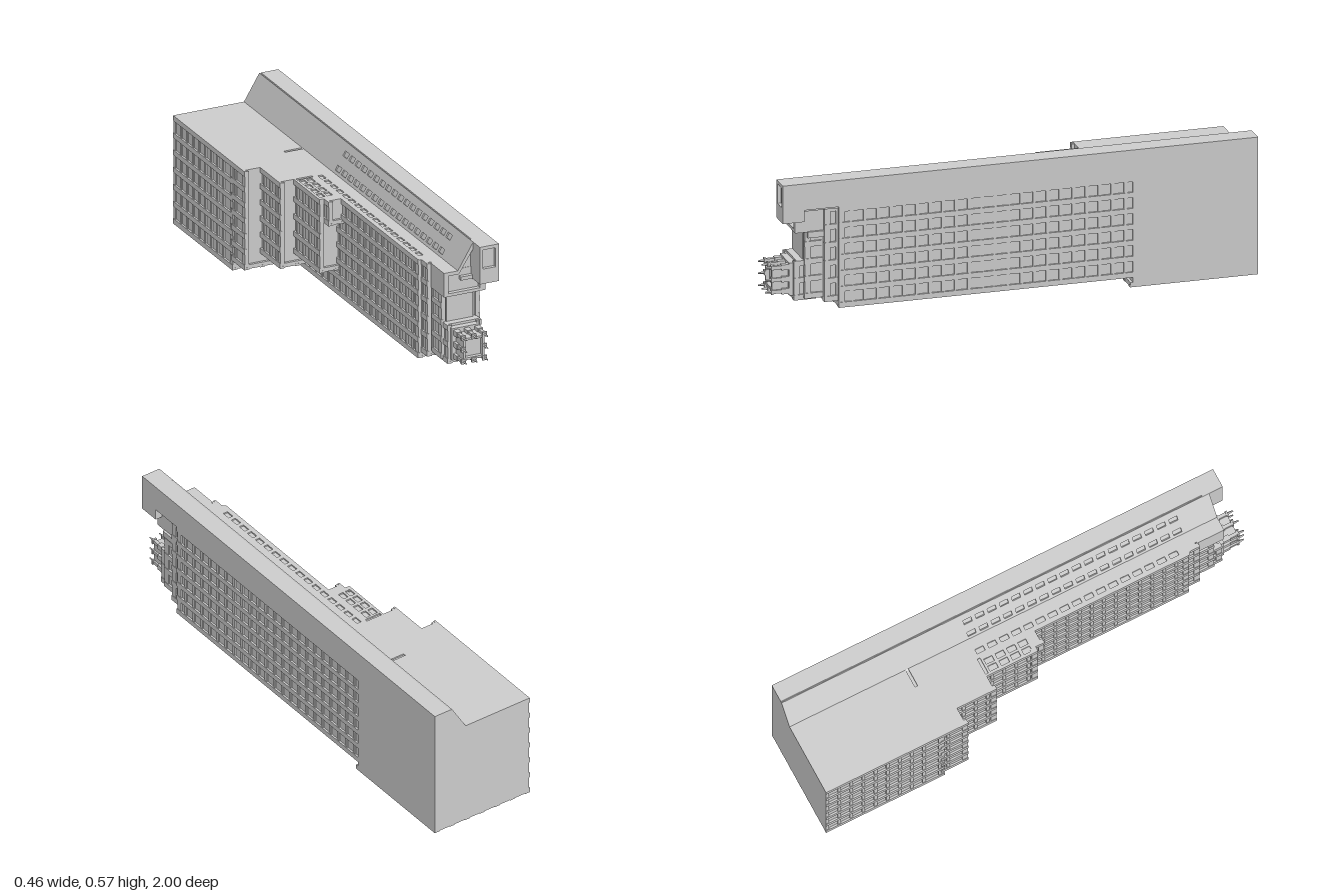
import * as THREE from 'three';

const mat = new THREE.MeshStandardMaterial({ color: 0xcccccc, flatShading: true });
const RECESS = 0.008, FLOOR = 0.0535, BAY = 0.076;

function add(parent, name, geo) {
  const m = new THREE.Mesh(geo, mat);
  m.name = name;
  parent.add(m);
  return m;
}

// Box given by its limits on each axis
function box(parent, name, x0, x1, y0, y1, z0, z1) {
  const g = new THREE.BoxGeometry(x1 - x0, y1 - y0, z1 - z0);
  g.translate((x0 + x1) / 2, (y0 + y1) / 2, (z0 + z1) / 2);
  return add(parent, name, g);
}

const shapeOf = pts => new THREE.Shape(pts.map(p => new THREE.Vector2(...p)));
const rect = (a, b, c, d) => [[a, c], [b, c], [b, d], [a, d]];

function prism(parent, name, pts, holes, z0, z1) {
  const s = shapeOf(pts);
  s.holes = holes.map(shapeOf);
  const g = new THREE.ExtrudeGeometry(s, { depth: z1 - z0, bevelEnabled: false });
  g.translate(0, 0, z0);
  return add(parent, name, g);
}

// Pierced sheet lying along z; u runs along dir, thickness goes inward
function piercedSheet(parent, name, origin, dir, width, z0, z1, cols, zs, winLen) {
  const s = shapeOf(rect(0, width, z0, z1));
  for (const [a, b] of cols) for (const z of zs) s.holes.push(shapeOf(rect(a, b, z, z + winLen)));
  const g = new THREE.ExtrudeGeometry(s, { depth: 0.006, bevelEnabled: false });
  const X = new THREE.Vector3(dir[0], dir[1], 0).normalize(), Y = new THREE.Vector3(0, 0, 1);
  g.applyMatrix4(new THREE.Matrix4().makeBasis(X, Y, X.clone().cross(Y)).setPosition(origin[0], origin[1], 0));
  return add(parent, name, g);
}

// Block with a grid of recessed windows on chosen faces (L = -x, R = +x, B = -y)
function tier(parent, name, x0, x1, y0, y1, z0, z1, faces, roofDrop = 0) {
  const g = new THREE.Group();
  g.name = name;
  parent.add(g);
  const L = faces.includes('L'), R = faces.includes('R'), B = faces.includes('B');
  const cx0 = x0 + (L ? RECESS : 0), cx1 = x1 - (R ? RECESS : 0), cy0 = y0 + (B ? RECESS : 0);
  box(g, 'core', cx0, cx1, cy0, y1 - roofDrop, z0, z1 - 0.012);

  // strip on a face: s0..s1 along the face, proud = fraction of the recess filled
  const strip = (f, part, s0, s1, a, b, proud, back = 0.001) => {
    const out = RECESS * (1 - proud), inn = RECESS + back;
    if (f === 'L') box(g, part, x0 + out, x0 + inn, s0, s1, a, b);
    if (f === 'R') box(g, part, x1 - inn, x1 - out, s0, s1, a, b);
    if (f === 'B') box(g, part, s0, s1, y0 + out, y0 + inn, a, b);
  };
  for (const f of faces) {
    const s0 = f === 'B' ? x0 : y0, s1 = f === 'B' ? x1 : y1;
    const n = Math.max(1, Math.round((s1 - s0) / BAY)), w = 0.022;
    for (let i = 0; i <= n; i++) {
      const c = s0 + w / 2 + (s1 - s0 - w) * i / n;
      strip(f, 'pier', c - w / 2, c + w / 2, z0, z1, 1);
    }
    const t0 = f === 'B' ? cx0 : cy0, t1 = f === 'B' ? cx1 : y1 - 0.002;
    for (let k = Math.ceil((z0 + 1) / FLOOR); -1 + k * FLOOR + 0.014 < z1 - 0.03; k++) {
      const z = -1 + k * FLOOR;
      strip(f, 'spandrel', t0, t1, z, z + 0.014, 0.65);
    }
    strip(f, 'parapet', t0, t1, z1 - 0.026, z1 - 0.001, 0.7, 0.012);
  }
  return g;
}

export function createModel() {
  const root = new THREE.Group();
  root.name = 'steppedTower';

  // Stepped lower wings
  tier(root, 'base', -0.23, 0.23, 0, 0.46, -1, -0.475, ['L', 'B']);
  tier(root, 'wingLow', -0.23, 0, 0.04, 0.46, -0.49, -0.37, ['L', 'B']);
  tier(root, 'wingMiddle', -0.155, 0, 0.095, 0.46, -0.39, -0.205, ['L', 'B']);
  tier(root, 'wingHigh', -0.09, 0, 0.145, 0.46, -0.22, 0.01, ['L', 'B'], 0.006);
  tier(root, 'wingTop', -0.07, 0, 0.357, 0.46, -0.01, 0.05, ['L', 'B']);
  const zsWing = [0, 1, 2, 3].map(i => -0.195 + i * 0.05);
  piercedSheet(root, 'wingRoofPanel', [-0.09, 0.46], [1, 0], 0.08, -0.205, 0.01,
    [[0.012, 0.035], [0.045, 0.068]], zsWing, 0.036);

  // Main shaft and its setbacks
  tier(root, 'shaft', -0.01, 0.23, 0.04, 0.46, -0.49, 0.72, ['L', 'R', 'B'], 0.006);
  tier(root, 'setbackLower', 0.003, 0.215, 0.065, 0.46, 0.7, 0.775, ['L', 'R', 'B']);
  tier(root, 'setbackUpper', 0.026, 0.197, 0.08, 0.46, 0.75, 0.85, ['L', 'R', 'B']);
  box(root, 'frontPanel', 0.05, 0.165, 0.23, 0.36, 0.83, 0.85);
  box(root, 'sideLedge', 0.183, 0.21, 0.335, 0.36, 0.77, 0.84);

  // Roof strip with a row of openings
  const zs = Array.from({ length: 18 }, (_, i) => -0.207 + i * FLOOR);
  piercedSheet(root, 'roofStrip', [-0.01, 0.46], [1, 0], 0.092, -0.475, 0.72, [[0.02, 0.04]], zs, 0.036);

  // Sloped ridge running the whole length
  prism(root, 'ridge', [[0.087, 0.46], [0.07, 0.452], [0.222, 0.452], [0.222, 0.46], [0.23, 0.46],
    [0.23, 0.57], [0.154, 0.57]], [], -1, 0.87);
  piercedSheet(root, 'ridgeSlope', [0.08, 0.46], [0.067, 0.11], 0.1288, -1, 0.87,
    [[0.012, 0.034], [0.076, 0.098]], zs, 0.036);

  // Upper head with framed front
  box(root, 'headCore', 0.02, 0.2, 0.357, 0.46, 0.77, 0.872);
  prism(root, 'headFrame', [[0.02, 0.357], [0.2, 0.357], [0.2, 0.57], [0.147, 0.57], [0.08, 0.46], [0.02, 0.46]],
    [[[0.04, 0.37], [0.178, 0.37], [0.178, 0.412], [0.146, 0.412], [0.146, 0.54], [0.085, 0.445], [0.04, 0.445]]],
    0.87, 0.89);
  box(root, 'headShelf', 0.095, 0.15, 0.415, 0.43, 0.865, 0.888);

  // Projecting end of the ridge
  box(root, 'ridgeEnd', 0.147, 0.23, 0.412, 0.57, 0.86, 0.935);
  box(root, 'ridgeCheek', 0.18, 0.23, 0.46, 0.57, 0.72, 0.9);
  prism(root, 'ridgeEndFrame', rect(0.147, 0.23, 0.412, 0.57), [rect(0.16, 0.215, 0.475, 0.556)], 0.935, 0.95);

  // Lower head below the crown
  tier(root, 'crownBase', 0.035, 0.183, 0.072, 0.235, 0.8, 0.89, ['L', 'R', 'B']);
  box(root, 'crownLedge', 0.048, 0.17, 0.09, 0.225, 0.86, 0.905);

  // Crown: core, rim and eight buttresses with spires
  const crown = new THREE.Group();
  crown.name = 'crown';
  root.add(crown);
  const cx = 0.11, cy = 0.158;
  box(crown, 'crownCore', 0.064, 0.156, 0.112, 0.204, 0.89, 0.955);
  prism(crown, 'crownRim', rect(0.064, 0.156, 0.112, 0.204), [rect(0.073, 0.147, 0.121, 0.195)], 0.955, 0.972);
  for (let i = -1; i <= 1; i++) for (let j = -1; j <= 1; j++) {
    if (!i && !j) continue;
    const x = cx + i * 0.046, y = cy + j * 0.05;
    box(crown, 'buttress', x - 0.011, x + 0.011, y - 0.011, y + 0.011, 0.89, 0.935);
    box(crown, 'pinnacle', x - 0.007, x + 0.007, y - 0.007, y + 0.007, 0.93, 0.975);
    box(crown, 'collar', x - 0.01, x + 0.01, y - 0.01, y + 0.01, 0.968, 0.976);
    const s = add(crown, 'spire', new THREE.CylinderGeometry(0.003, 0.006, 0.026, 4));
    s.rotation.x = Math.PI / 2;
    s.position.set(x, y, 0.987);
  }
  return root;
}
